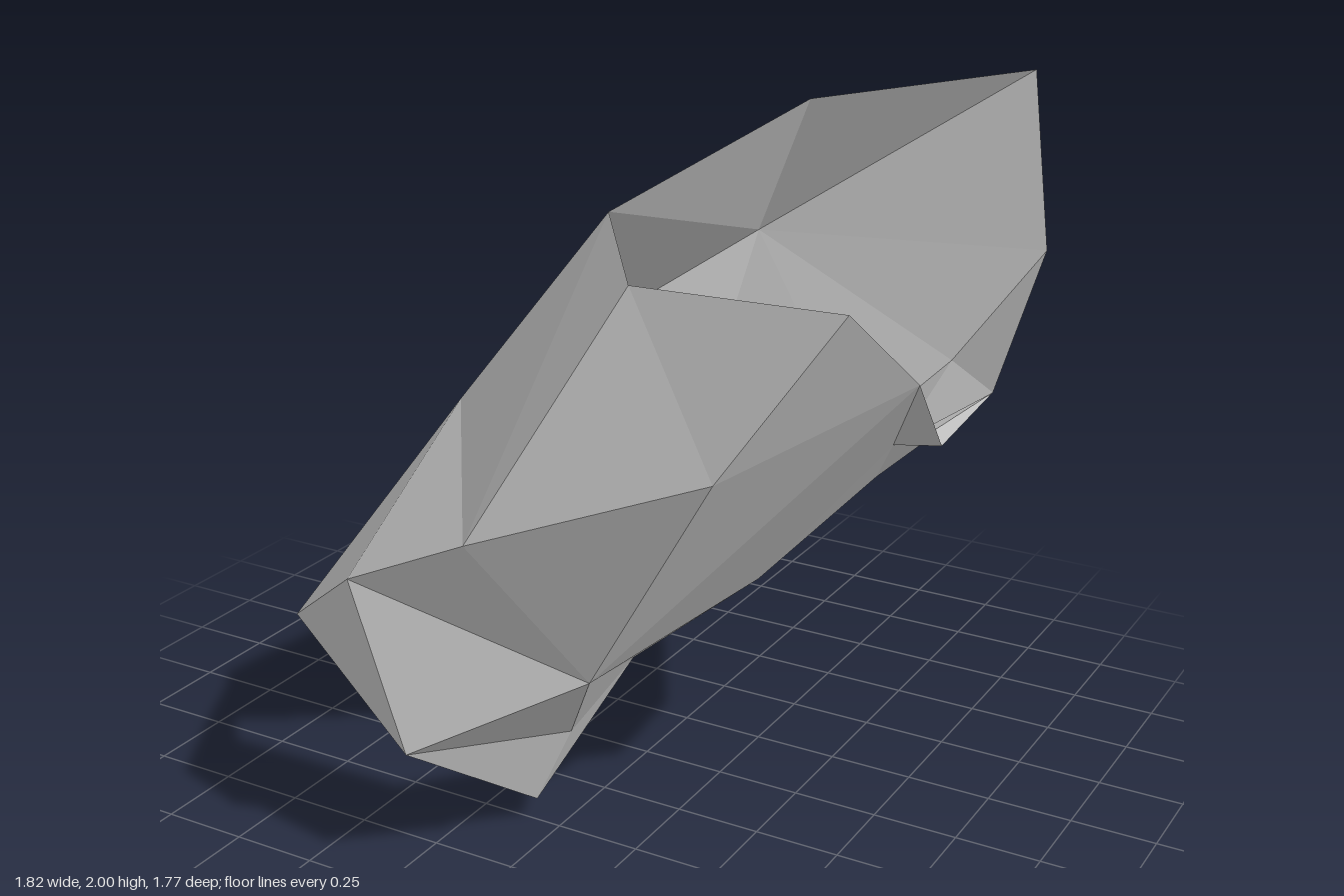
import * as THREE from 'three';

// Corner points of the faceted rock shell
const P = {
  // front and lower mouth
  toe: [-0.91, 0.45, 0.5], foot: [-0.62, 0, 0.05], heel: [-0.08, 0.06, 0.49],
  lip: [-0.24, 0.345, 0.885], ankle: [0, 0.27, 0.43], belly: [0.2, 0.57, 0.655],
  chinR: [-0.5, 0.76, 0.77], chest: [-0.06, 0.98, 0.845], chinL: [0.57, 1.21, 0.67],
  // rim of the upper opening
  rimA: [-0.01, 1.72, 0.19], rimB: [0.25, 1.93, -0.5], peak: [0.78, 2, -0.885],
  rimC: [0.88, 1.5, -0.79], rimD: [0.91, 1.21, -0.33], rimE: [0.86, 1.185, -0.01],
  rimF: [0.91, 1.39, 0.2], rimG: [0.85, 1.65, 0.515], rimH: [0.25, 1.64, 0.53],
  flap: [0.91, 1.17, 0.03], fold: [0.76, 1.135, 0],
  // flank and back
  side: [-0.515, 1.1, 0.185], back: [0.05, 1.5, -0.585], mid: [-0.31, 1.24, -0.245],
  hip: [-0.59, 0.585, -0.095], notch: [-0.71, 0.7, 0.07],
  // underside
  under: [0.04, 0.39, 0.15], keelA: [0.46, 0.75, 0.19], keelB: [0.68, 1, -0.08],
  low: [-0.05, 0.8, -0.3], spineA: [0.44, 0.94, -0.49], spineB: [0.66, 1.17, -0.65],
};

// Line through the middle of the rock, used to turn every facet outward
const axis = new THREE.Line3(new THREE.Vector3(-0.35, 0.35, 0.4), new THREE.Vector3(0.6, 1.5, -0.2));

// Each fan is a hub followed by the ring of corners around it
function fanGeometry(fans) {
  const pos = [];
  const tri = new THREE.Triangle();
  const n = new THREE.Vector3(), c = new THREE.Vector3(), q = new THREE.Vector3();
  for (const fan of fans) {
    const [hub, ...ring] = fan.split(' ').map((k) => new THREE.Vector3(...P[k]));
    for (let i = 0; i < ring.length - 1; i++) {
      tri.set(hub, ring[i], ring[i + 1]);
      tri.getNormal(n);
      tri.getMidpoint(c);
      axis.closestPointToPoint(c, true, q);
      const outward = n.dot(c.sub(q)) > 0;
      const corners = outward ? [hub, ring[i], ring[i + 1]] : [hub, ring[i + 1], ring[i]];
      corners.forEach((v) => pos.push(v.x, v.y, v.z));
    }
  }
  const g = new THREE.BufferGeometry();
  g.setAttribute('position', new THREE.Float32BufferAttribute(pos, 3));
  g.computeVertexNormals();
  return g;
}

const parts = {
  backShell: ['back rimB peak rimC spineB spineA low mid rimA rimB'],
  rightFlank: [
    'side rimA mid hip notch toe chinR chest rimA',
    'hip mid low under foot toe notch',
  ],
  frontShell: [
    'chest rimA rimH chinL belly chinR',
    'chinL rimH rimG rimF belly',
    'lip toe chinR belly ankle heel',
  ],
  underside: [
    'under foot heel ankle belly keelA keelB low',
    'keelB low spineA spineB rimD fold keelA',
    'rimF belly keelA fold flap',
    'rimD spineB rimC',
  ],
  // small folded corner on the rim of the opening
  rimFold: ['rimE flap fold rimD flap'],
};

export function createModel() {
  const stone = new THREE.MeshStandardMaterial({ color: 0xc0c0c0, flatShading: true, side: THREE.DoubleSide });
  stone.name = 'grey stone';
  const rock = new THREE.Group();
  rock.name = 'hollowRock';
  for (const [name, fans] of Object.entries(parts)) {
    const mesh = new THREE.Mesh(fanGeometry(fans), stone);
    mesh.name = name;
    rock.add(mesh);
  }
  return rock;
}
